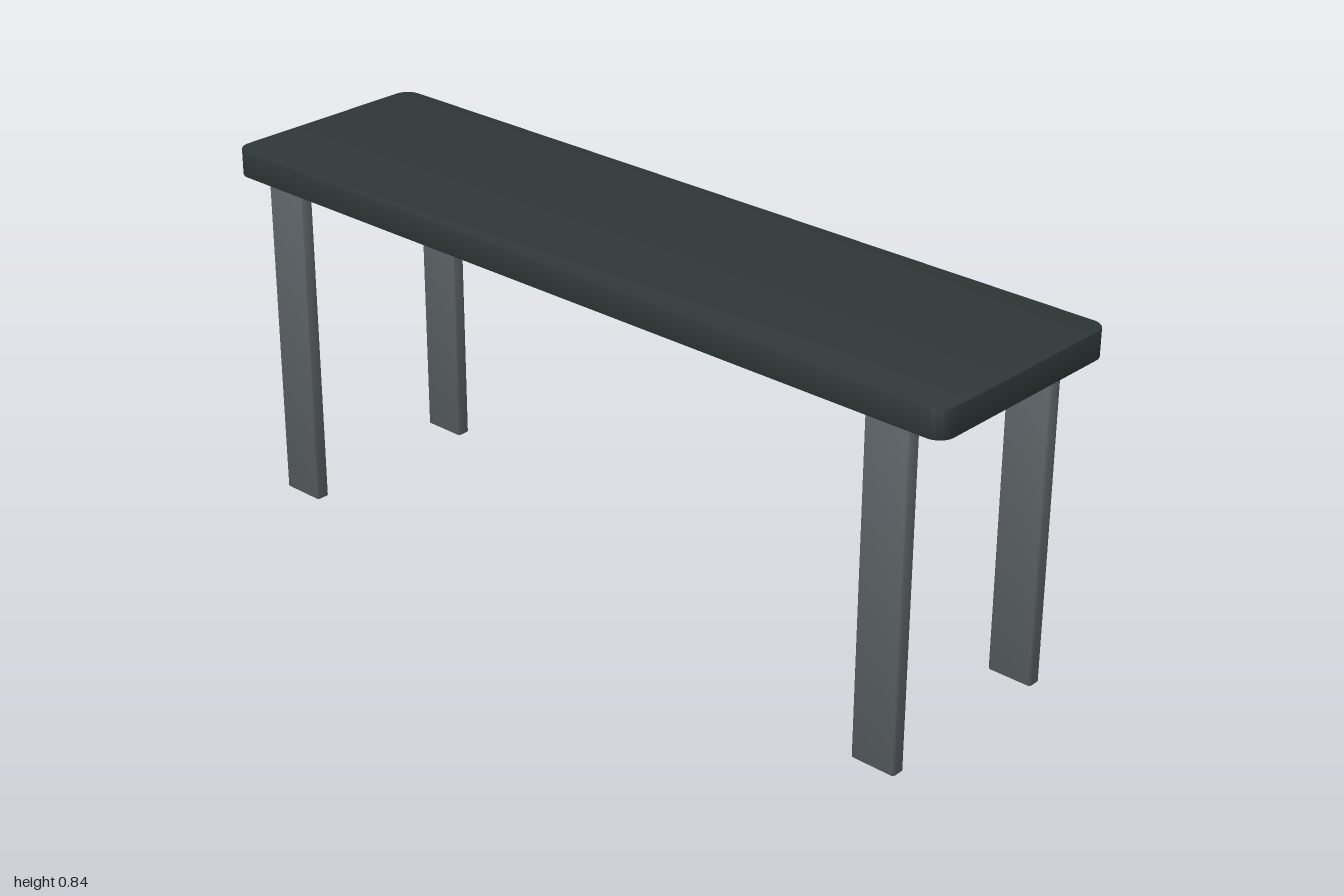
import * as THREE from 'three';
import { toCreasedNormals } from 'three/addons/utils/BufferGeometryUtils.js';

// Upright slab standing on y = 0, with rounded vertical corners and a fine bevel
function roundedSlab(width, height, depth, radius, bevel) {
  const x = width / 2 - bevel, y = depth / 2 - bevel, r = radius;
  const shape = new THREE.Shape();
  shape.moveTo(-x + r, -y);
  shape.lineTo(x - r, -y);
  shape.absarc(x - r, -y + r, r, -Math.PI / 2, 0);
  shape.lineTo(x, y - r);
  shape.absarc(x - r, y - r, r, 0, Math.PI / 2);
  shape.lineTo(-x + r, y);
  shape.absarc(-x + r, y - r, r, Math.PI / 2, Math.PI);
  shape.lineTo(-x, -y + r);
  shape.absarc(-x + r, -y + r, r, Math.PI, Math.PI * 1.5);
  const geometry = new THREE.ExtrudeGeometry(shape, {
    depth: height - 2 * bevel,
    bevelThickness: bevel,
    bevelSize: bevel,
    bevelSegments: 2,
    curveSegments: 6,
  });
  geometry.rotateX(-Math.PI / 2).translate(0, bevel, 0);
  return toCreasedNormals(geometry, 0.6);
}

export function createModel() {
  const model = new THREE.Group();
  model.name = 'bench';

  const seatColour = new THREE.MeshStandardMaterial({ name: 'dark slate', color: 0x2e3736 });
  const legColour = new THREE.MeshStandardMaterial({ name: 'steel grey', color: 0x595f63 });

  // Seat board
  const seat = new THREE.Mesh(roundedSlab(2, 0.064, 0.53, 0.035, 0.002), seatColour);
  seat.name = 'seat';
  seat.position.y = 0.773;
  model.add(seat);

  // Four flat legs, mirrored left to right and front to back
  const legGeometry = roundedSlab(0.108, 0.774, 0.033, 0.004, 0.002);
  for (const [side, sx] of [['Left', 1], ['Right', -1]]) {
    for (const [end, sz] of [['front', 1], ['back', -1]]) {
      const leg = new THREE.Mesh(legGeometry, legColour);
      leg.name = `${end}${side}Leg`;
      leg.position.set(sx * 0.857, 0, sz * 0.229);
      model.add(leg);
    }
  }
  return model;
}
